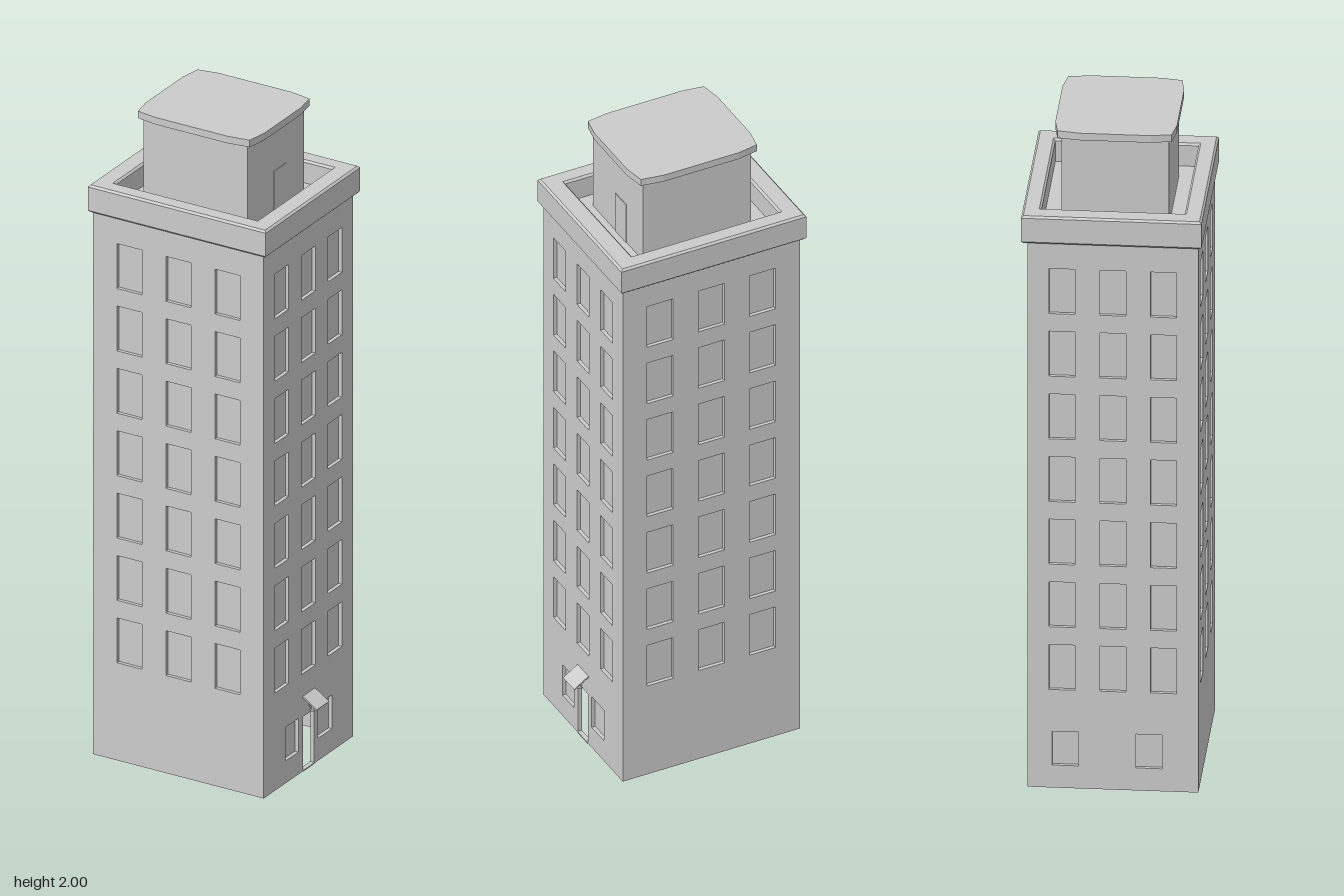
import * as THREE from 'three';

const X0 = -0.30, X1 = 0.265, Z0 = -0.24, Z1 = 0.245, H = 1.70, T = 0.012;
const CX = (X0 + X1) / 2, CZ = (Z0 + Z1) / 2, W = X1 - X0, D = Z1 - Z0;
const mat = new THREE.MeshStandardMaterial({ color: 0xcccccc, flatShading: true, side: THREE.DoubleSide });

function add(parent, name, geo, x = 0, y = 0, z = 0) {
  const m = new THREE.Mesh(geo, mat);
  m.name = name;
  m.position.set(x, y, z);
  parent.add(m);
  return m;
}

function rect(Type, x0, y0, x1, y1) {
  return new Type([[x0, y0], [x1, y0], [x1, y1], [x0, y1]].map(p => new THREE.Vector2(...p)));
}

// Seven storeys of three windows each
function windowGrid(width, spacing) {
  const list = [];
  for (let row = 0; row < 7; row++) {
    for (const col of [-1, 0, 1]) {
      const x = col * spacing, y = 0.305 + row * 0.195;
      list.push([x - width / 2, y, x + width / 2, y + 0.14]);
    }
  }
  return list;
}

// Wall with its outer face on local z = 0, recessed panes and open doorways
function wall(name, width, windows, doors = []) {
  const g = new THREE.Group();
  g.name = name;
  const shape = rect(THREE.Shape, -width / 2, 0, width / 2, H);
  for (const r of [...windows, ...doors]) shape.holes.push(rect(THREE.Path, ...r));
  add(g, 'wallPanel', new THREE.ExtrudeGeometry(shape, { depth: T, bevelEnabled: false }), 0, 0, -T);
  for (const [a, b, c, d] of windows) {
    add(g, 'windowPane', new THREE.PlaneGeometry(c - a, d - b), (a + c) / 2, (b + d) / 2, -T + 0.001);
  }
  return g;
}

export function createModel() {
  const model = new THREE.Group();
  model.name = 'towerBlock';

  // Walls: open underneath, doorway on the +x side
  const longGrid = windowGrid(0.083, 0.163), sideGrid = windowGrid(0.074, 0.144);
  const sideWidth = D - 2 * T;
  const front = wall('frontWall', W, longGrid);
  front.position.set(CX, 0, Z1);
  const back = wall('backWall', W, longGrid);
  back.position.set(CX, 0, Z0);
  back.rotation.y = Math.PI;
  const left = wall('entranceWall', sideWidth,
    [...sideGrid, [-0.125, 0.07, -0.055, 0.175], [0.053, 0.07, 0.127, 0.175]],
    [[-0.03, 0.003, 0.03, 0.17]]);
  left.position.set(X1, 0, CZ);
  left.rotation.y = Math.PI / 2;
  const right = wall('rightWall', sideWidth,
    [...sideGrid, [-0.172, 0.07, -0.098, 0.175], [0.065, 0.07, 0.139, 0.175]]);
  right.position.set(X0, 0, CZ);
  right.rotation.y = -Math.PI / 2;
  model.add(front, back, left, right);

  // Roof deck and overhanging parapet
  add(model, 'roofDeck', new THREE.BoxGeometry(W - 0.01, 0.02, D - 0.01), CX, 1.70, CZ);
  const b = 0.006;
  const ring = rect(THREE.Shape, -0.312 + b, -0.255 + b, 0.278 - b, 0.257 - b);
  ring.holes.push(rect(THREE.Path, -0.252 - b, -0.202 - b, 0.217 + b, 0.204 + b));
  const parapet = add(model, 'parapet', new THREE.ExtrudeGeometry(ring, {
    depth: 0.085 - 2 * b, bevelThickness: b, bevelSize: b, bevelSegments: 1,
  }), 0, 1.695 + b, 0);
  parapet.rotation.x = -Math.PI / 2;

  // Rooftop room with a narrow door and a bowed slab on top
  add(model, 'rooftopRoom', new THREE.BoxGeometry(0.345, 0.28, 0.305), -0.0175, 1.84, 0.0);
  add(model, 'rooftopDoor', new THREE.BoxGeometry(0.004, 0.13, 0.065), 0.155, 1.775, -0.02);
  const outline = [
    [-0.203, 0.163], [-0.214, 0.1], [-0.214, -0.1], [-0.203, -0.161], [-0.14, -0.171], [0.1, -0.171],
    [0.167, -0.161], [0.178, -0.1], [0.178, 0.1], [0.167, 0.163], [0.1, 0.174], [-0.14, 0.174],
  ].map(p => new THREE.Vector2(...p));
  const slab = add(model, 'rooftopSlab',
    new THREE.ExtrudeGeometry(new THREE.Shape(outline), { depth: 0.022, bevelEnabled: false }), 0, 1.978, 0);
  slab.rotation.x = -Math.PI / 2;

  // Sloping canopy, lamp and doorstep at the entrance
  const canopy = add(model, 'entranceCanopy', new THREE.BoxGeometry(0.056, 0.004, 0.067), 0.288, 0.218, 0.001);
  canopy.rotation.z = -Math.atan2(0.03, 0.045);
  add(model, 'entranceLamp', new THREE.CylinderGeometry(0.004, 0.008, 0.014, 8), 0.277, 0.187, 0);
  add(model, 'lampArm', new THREE.BoxGeometry(0.014, 0.003, 0.003), 0.271, 0.194, 0);
  add(model, 'doorstep', new THREE.BoxGeometry(0.014, 0.004, 0.06), 0.26, 0.002, CZ);
  return model;
}
